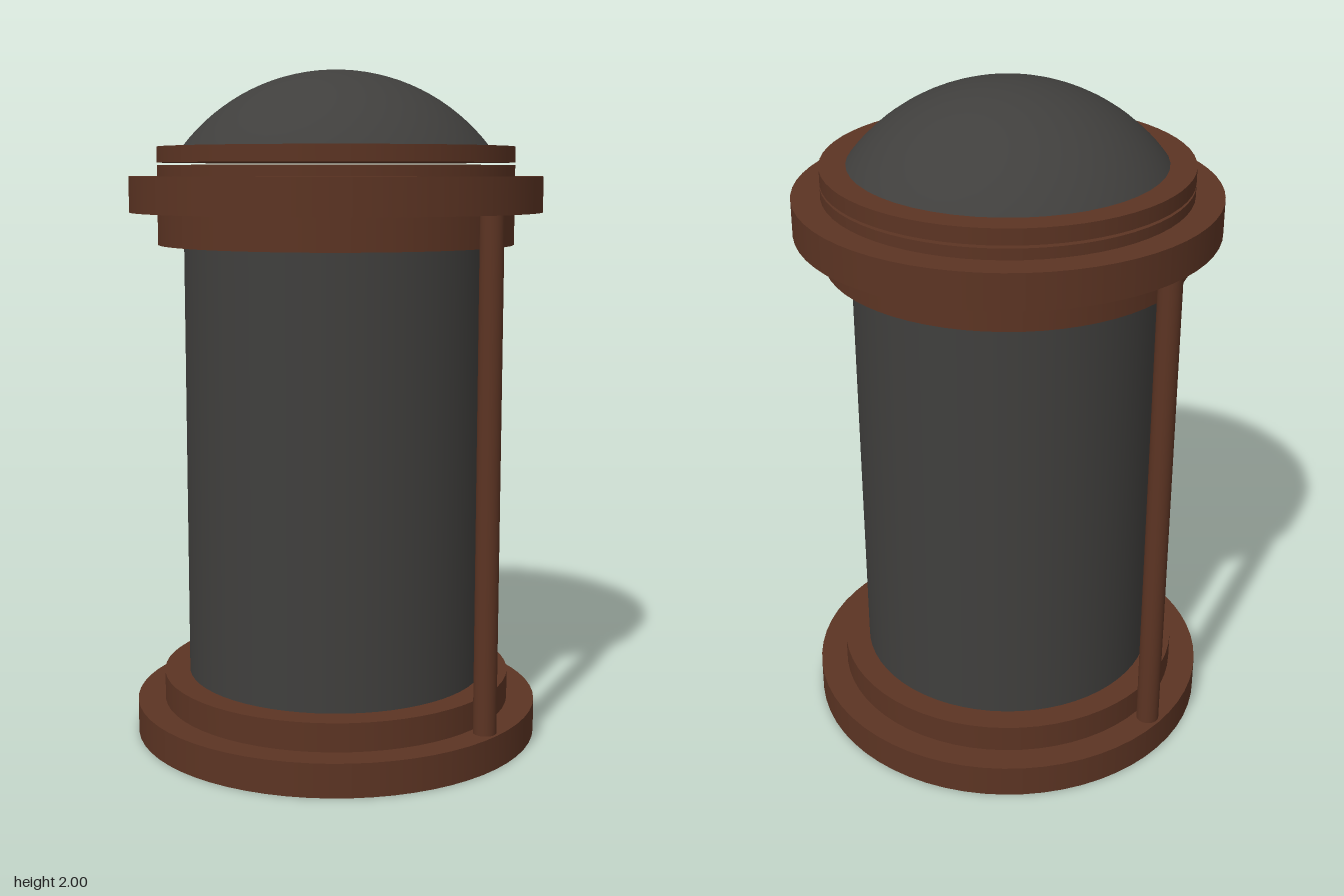
import * as THREE from 'three';

export function createModel() {
  const model = new THREE.Group();
  const wood = new THREE.MeshStandardMaterial({ color: 0x5c3423 });
  const dark = new THREE.MeshStandardMaterial({ color: 0x403f3d });

  // Upright cylinder spanning y0..y1
  function drum(name, radius, y0, y1, material, segments = 64, z = 0) {
    const mesh = new THREE.Mesh(new THREE.CylinderGeometry(radius, radius, y1 - y0, segments), material);
    mesh.name = name;
    mesh.position.set(0, (y0 + y1) / 2, z);
    model.add(mesh);
  }

  // Stepped base
  drum('basePlate', 0.613, 0, 0.1, wood);
  drum('baseStep', 0.53, 0.1, 0.185, wood);

  // Main body
  drum('body', 0.453, 0.185, 1.49, dark);

  // Stepped crown, with a narrow gap below the top ring
  drum('crownCollar', 0.53, 1.49, 1.722, wood);
  drum('crownRim', 0.613, 1.585, 1.69, wood);
  drum('topRing', 0.53, 1.73, 1.776, wood);

  // Shallow spherical cap
  const capBase = 1.776, capRadius = 0.455, capHeight = 2 - capBase;
  const R = (capRadius ** 2 + capHeight ** 2) / (2 * capHeight);
  const dome = new THREE.Mesh(
    new THREE.SphereGeometry(R, 48, 16, 0, Math.PI * 2, 0, Math.asin(capRadius / R)), dark);
  dome.name = 'dome';
  dome.position.y = 2 - R;
  model.add(dome);

  // Slender rods at front and back
  for (const [name, side] of [['frontRod', 1], ['backRod', -1]])
    drum(name, 0.034, 0.1, 1.585, wood, 24, side * 0.57);

  return model;
}
